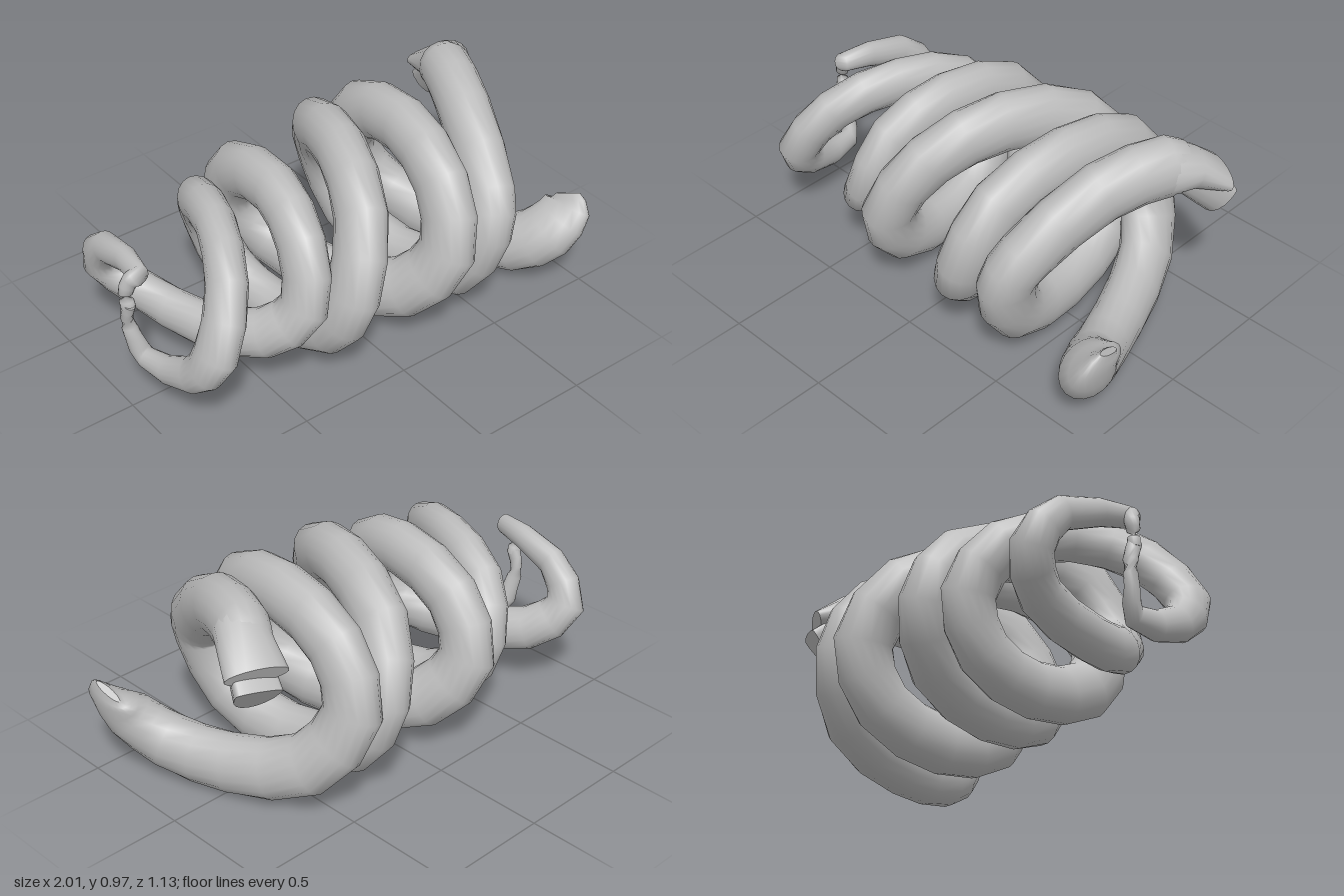
import * as THREE from 'three';

const SIDES = 18;

// Lofts oval rings {p, n, a, b, outer}: centre, outward direction, radial and
// sideways half-widths, and the scale of the outward half
function loft(rings, material, name) {
  const pos = [], idx = [], count = rings.length;
  const frames = rings.map((r, i) => {
    const t = rings[Math.min(i + 1, count - 1)].p.clone().sub(rings[Math.max(i - 1, 0)].p).normalize();
    const n = r.n.clone().addScaledVector(t, -r.n.dot(t)).normalize();
    return { ...r, n, s: t.clone().cross(n) };
  });
  const addRing = (f) => {
    for (let k = 0; k < SIDES; k++) {
      const u = (k / SIDES) * Math.PI * 2, c = Math.cos(u);
      const v = f.p.clone().addScaledVector(f.n, c * f.a * (c > 0 ? f.outer : 1)).addScaledVector(f.s, Math.sin(u) * f.b);
      pos.push(v.x, v.y, v.z);
    }
  };
  frames.forEach(addRing);
  for (let j = 0; j < count - 1; j++) {
    for (let k = 0; k < SIDES; k++) {
      const a = j * SIDES + k, b = j * SIDES + ((k + 1) % SIDES);
      idx.push(a, b, a + SIDES, b, b + SIDES, a + SIDES);
    }
  }
  // flat caps with their own vertices
  [frames[0], frames[count - 1]].forEach((f, end) => {
    const base = pos.length / 3;
    addRing(f);
    pos.push(f.p.x, f.p.y, f.p.z);
    for (let k = 0; k < SIDES; k++) {
      const a = base + k, b = base + ((k + 1) % SIDES);
      if (end) idx.push(base + SIDES, a, b);
      else idx.push(base + SIDES, b, a);
    }
  });
  const g = new THREE.BufferGeometry();
  g.setAttribute('position', new THREE.Float32BufferAttribute(pos, 3));
  g.setIndex(idx);
  g.computeVertexNormals();
  const mesh = new THREE.Mesh(g, material);
  mesh.name = name;
  return mesh;
}

// direction after q quarter turns: front, top, back, bottom; lean tips it along x
const dir = (q, lean = 0) => new THREE.Vector3(lean, Math.sin(q * Math.PI / 2), Math.cos(q * Math.PI / 2));
const ring = (x, y, z, q, a, b, lean = 0, outer = 1) =>
  ({ p: new THREE.Vector3(x, y, z), n: dir(q, lean), a, b, outer });

// Adds one ring halfway between each pair, on a smooth curve
function soften(rings) {
  const curve = new THREE.CatmullRomCurve3(rings.map((r) => r.p));
  const last = rings.length - 1;
  return rings.flatMap((r, i) => {
    if (i === last) return [r];
    const next = rings[i + 1];
    const between = {
      p: curve.getPoint((i + 0.5) / last),
      n: r.n.clone().add(next.n).normalize(),
      a: (r.a + next.a) / 2, b: (r.b + next.b) / 2, outer: 1,
    };
    return [r, between];
  });
}

// Quarter-turn knots [x, outer reach, radius], with one corner between each pair
function coil(knots, firstQuarter) {
  const rings = [];
  const centre = (i) => dir(firstQuarter + i).multiplyScalar(knots[i][1] - knots[i][2]);
  const add = (x, offset, q, a) => rings.push(ring(x, 0.45 + 0.04 * x + offset.y, offset.z, q, a, a * 0.82));
  knots.forEach(([x, , a], i) => {
    add(x, centre(i), firstQuarter + i, a);
    const next = knots[i + 1];
    if (!next) return;
    const mid = centre(i).add(centre(i + 1)).multiplyScalar(0.72);
    add((x + next[0]) / 2, mid, firstQuarter + i + 0.5, (a + next[2]) / 2);
  });
  return rings;
}

export function createModel() {
  const group = new THREE.Group();
  group.name = 'doubleCoil';
  const grey = new THREE.MeshStandardMaterial({ color: 0xbcbcbc });
  grey.name = 'grey';

  // strand that starts downward and ends split at the back
  const strandA = [
    ring(-0.965, 0.5, -0.02, -1, 0.03, 0.024),
    ring(-0.965, 0.42, -0.045, -1, 0.03, 0.026),
    ring(-0.95, 0.32, -0.03, -1, 0.035, 0.03),
    ...coil([
      [-0.92, 0.243, 0.05], [-0.82, 0.455, 0.1], [-0.56, 0.38, 0.1], [-0.37, 0.48, 0.115],
      [-0.28, 0.405, 0.12], [-0.2, 0.53, 0.125], [0.06, 0.48, 0.13], [0.3, 0.57, 0.13],
      [0.38, 0.46, 0.13], [0.48, 0.55, 0.13],
    ], -1),
    ring(0.53, 0.6, 0.37, 0.3, 0.13, 0.108),
    ring(0.65, 0.81, 0.08, 0.85, 0.13, 0.11),
    ring(0.76, 0.855, -0.17, 1.2, 0.125, 0.11),
    ring(0.79, 0.83, -0.22, 1.35, 0.1, 0.11),
  ];
  group.add(loft(soften(strandA), grey, 'lowerStartStrand'));

  // strand that starts upward and ends in a wedge at the front
  const strandB = [
    ring(-0.965, 0.48, -0.025, 1, 0.03, 0.024),
    ring(-0.97, 0.55, -0.03, 1, 0.03, 0.026),
    ring(-0.95, 0.61, -0.02, 1, 0.035, 0.032),
    ...coil([
      [-0.92, 0.266, 0.045], [-0.86, 0.505, 0.09], [-0.64, 0.275, 0.1], [-0.39, 0.45, 0.11],
      [-0.27, 0.43, 0.12], [-0.2, 0.565, 0.125], [0.03, 0.41, 0.13], [0.27, 0.56, 0.13],
      [0.39, 0.46, 0.13], [0.45, 0.57, 0.13], [0.7, 0.47, 0.13],
    ], 1),
    ring(0.8, 0.165, 0.27, 3.45, 0.13, 0.11),
    ring(0.89, 0.27, 0.4, 3.75, 0.13, 0.1),
    ring(0.965, 0.375, 0.42, 3.95, 0.12, 0.05),
    ring(0.985, 0.42, 0.4, 4, 0.065, 0.015),
  ];
  group.add(loft(soften(strandB), grey, 'upperStartStrand'));

  // the two prongs of the split end
  group.add(loft([
    ring(0.76, 0.855, -0.16, 1.2, 0.12, 0.105),
    ring(0.81, 0.84, -0.25, 1.35, 0.085, 0.115),
    ring(0.86, 0.78, -0.365, 1.45, 0.045, 0.125, 0.3),
  ], grey, 'upperProng'));
  group.add(loft([
    ring(0.79, 0.88, -0.2, 1.25, 0.1, 0.08, 0, 0.15),
    ring(0.87, 0.72, -0.39, 1.25, 0.13, 0.095, 0, 0.15),
  ], grey, 'lowerProng'));

  return group;
}
